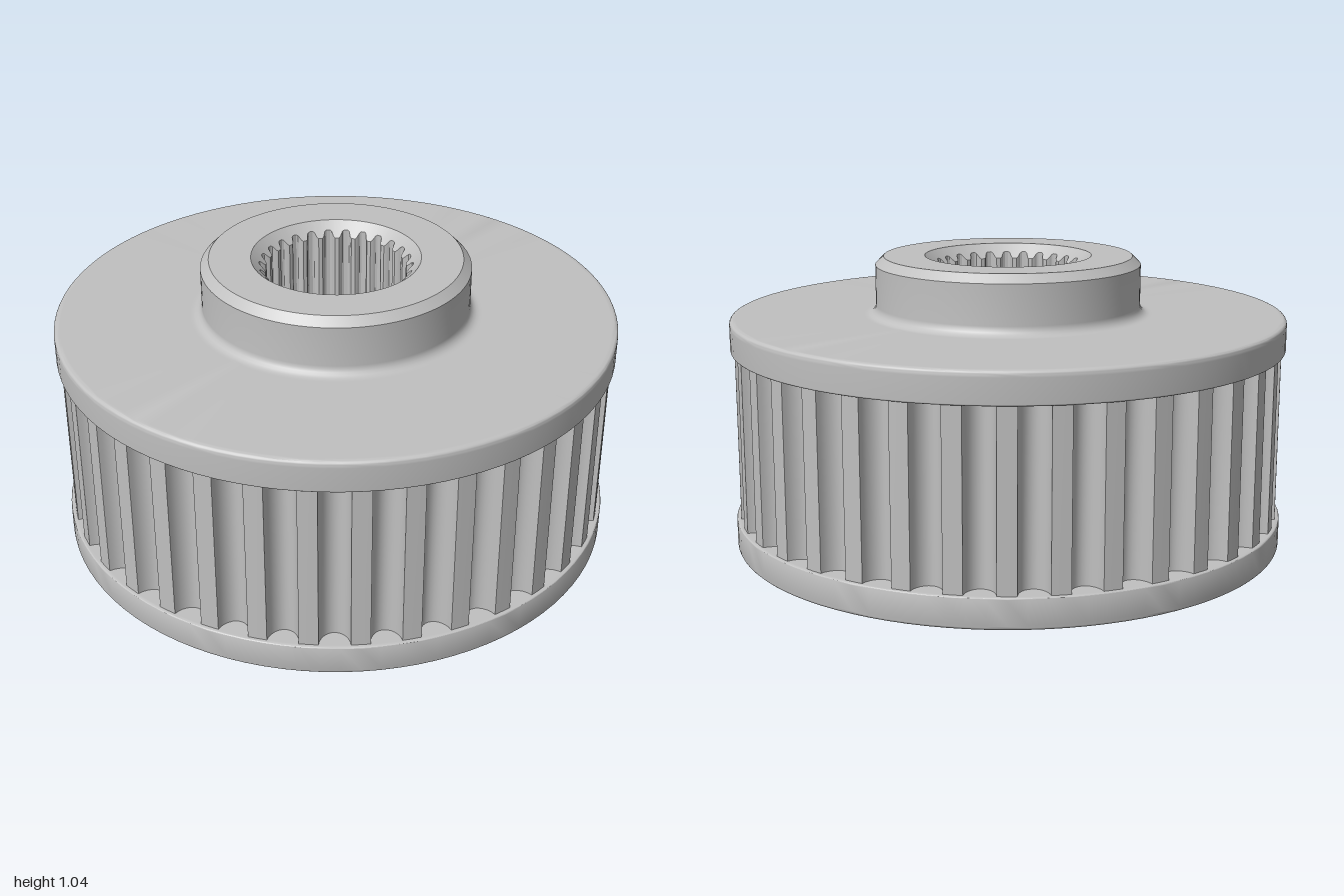
import * as THREE from 'three';
import { toCreasedNormals } from 'three/addons/utils/BufferGeometryUtils.js';

const CREASE = 0.5;

// Rounded corner: points on an arc around (cx, cy), angles in degrees
function arc(cx, cy, r, from, to, n = 5) {
  return Array.from({ length: n + 1 }, (_, i) => {
    const a = THREE.MathUtils.degToRad(from + ((to - from) * i) / n);
    return [cx + r * Math.cos(a), cy + r * Math.sin(a)];
  });
}

function turned(points) {
  const profile = points.map(([x, y]) => new THREE.Vector2(x, y));
  return toCreasedNormals(new THREE.LatheGeometry(profile, 96), CREASE);
}

// Wall with a repeating outline; each row maps an outline radius to [radius, y]
function toothedWall(count, pitch, rows) {
  const outline = [];
  for (let k = 0; k < count; k++) {
    for (const [f, r] of pitch) outline.push([((k + f) / count) * Math.PI * 2, r]);
  }
  const n = outline.length;
  const positions = [];
  const index = [];
  rows.forEach((row, j) => {
    outline.forEach(([a, r], i) => {
      const [radius, y] = row(r);
      positions.push(radius * Math.sin(a), y, radius * Math.cos(a));
      if (j === 0) return;
      const next = (i + 1) % n;
      const low = (j - 1) * n;
      const up = j * n;
      index.push(low + i, low + next, up + next, low + i, up + next, up + i);
    });
  });
  const geometry = new THREE.BufferGeometry();
  geometry.setAttribute('position', new THREE.Float32BufferAttribute(positions, 3));
  geometry.setIndex(index);
  return toCreasedNormals(geometry, CREASE);
}

export function createModel() {
  const group = new THREE.Group();
  const steel = new THREE.MeshStandardMaterial({ color: 0xc0c0c0 });
  steel.name = 'steel grey';
  const add = (name, geometry) => {
    const mesh = new THREE.Mesh(geometry, steel);
    mesh.name = name;
    group.add(mesh);
  };

  // Lower flange with the bore floor, small through hole and bottom counterbore.
  // Extra points beside each rounded edge keep the flat faces evenly shaded.
  add('lowerFlangeAndBore', turned([
    [0.29, 0.42], [0.135, 0.42], [0.135, 0.27], [0.272, 0.27], [0.272, 0.035],
    ...arc(0.297, 0.025, 0.025, 180, 270),
    [0.305, 0], [0.977, 0],
    ...arc(0.985, 0.015, 0.015, -90, 0),
    [1, 0.02], [1, 0.1],
    ...arc(0.994, 0.104, 0.006, 0, 90),
    [0.985, 0.11], [0.88, 0.11],
  ]));

  // Upper flange blending into the chamfered hub
  add('upperFlangeAndHub', turned([
    [0.88, 0.725], [0.985, 0.725],
    ...arc(0.994, 0.731, 0.006, -90, 0),
    [1, 0.735], [1, 0.815],
    ...arc(0.985, 0.822, 0.015, 0, 90),
    [0.977, 0.837], [0.523, 0.837],
    ...arc(0.513, 0.872, 0.035, 270, 180),
    [0.478, 0.88], [0.478, 1.015], [0.448, 1.045], [0.3, 1.045],
  ]));

  // Belt teeth: narrow lands between rounded grooves
  const beltPitch = [[0, 0.985]];
  for (let i = 0; i <= 12; i++) {
    const a = (Math.PI * i) / 12;
    beltPitch.push([0.5 - 0.31 * Math.cos(a), 0.985 - 0.065 * Math.sin(a)]);
  }
  add('beltTeeth', toothedWall(36, beltPitch, [(r) => [r, 0.11], (r) => [r, 0.725]]));

  // Splined bore with a chamfered mouth cutting across the spline ends
  const splinePitch = [
    [0, 0.272], [0.2, 0.272], [0.3, 0.268], [0.4, 0.254], [0.48, 0.25],
    [0.72, 0.25], [0.8, 0.254], [0.9, 0.268],
  ];
  add('splinedBore', toothedWall(26, splinePitch, [
    () => [0.3, 1.045],
    (r) => [r, 0.745 + r],
    (r) => [r, 0.42],
  ]));

  return group;
}
